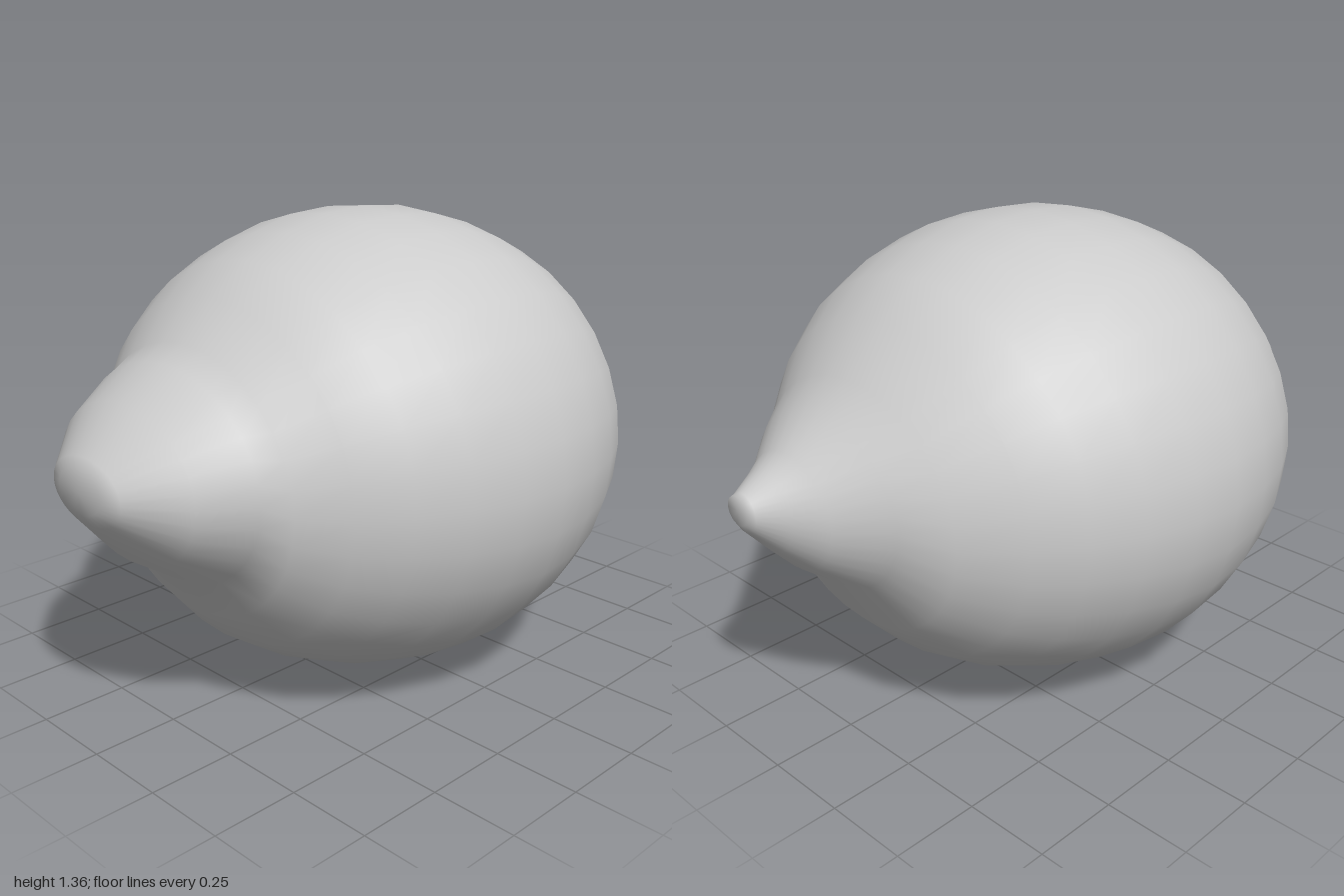
import * as THREE from 'three';

// Cross-sections from back to front: [z, xMin, xMax, yMin, yMax]
const sections = [
  [-1.0, 0.025, 0.11, 0.71, 0.79],
  [-0.985, 0.01, 0.12, 0.685, 0.795],
  [-0.92, -0.05, 0.165, 0.61, 0.835],
  [-0.86, -0.13, 0.22, 0.545, 0.87],
  [-0.76, -0.265, 0.325, 0.47, 0.955],
  [-0.68, -0.39, 0.405, 0.325, 1.03],
  [-0.56, -0.53, 0.53, 0.2, 1.16],
  [-0.44, -0.62, 0.62, 0.12, 1.25],
  [-0.3, -0.69, 0.69, 0.06, 1.31],
  [-0.15, -0.735, 0.735, 0.02, 1.35],
  [0, -0.75, 0.75, 0.005, 1.36],
  [0.15, -0.735, 0.735, 0.02, 1.35],
  [0.3, -0.69, 0.69, 0.06, 1.31],
  [0.44, -0.62, 0.62, 0.12, 1.25],
  [0.56, -0.53, 0.53, 0.2, 1.165],
  [0.66, -0.42, 0.42, 0.315, 1.06],
  [0.73, -0.375, 0.375, 0.43, 1.02],
  [0.86, -0.29, 0.29, 0.515, 0.94],
  [0.975, -0.15, 0.15, 0.645, 0.825],
  [0.995, -0.09, 0.09, 0.68, 0.8],
];
const SIDES = 32;

// Skin elliptical rings along z and close both ends with a fan
function loft(rings) {
  const pos = [], index = [];
  for (const [z, x0, x1, y0, y1] of rings) {
    for (let j = 0; j < SIDES; j++) {
      const a = (j / SIDES) * Math.PI * 2;
      pos.push(
        (x0 + x1) / 2 + ((x1 - x0) / 2) * Math.cos(a),
        (y0 + y1) / 2 + ((y1 - y0) / 2) * Math.sin(a),
        z
      );
    }
  }
  const addCentre = ([, x0, x1, y0, y1], z) => {
    pos.push((x0 + x1) / 2, (y0 + y1) / 2, z);
    return pos.length / 3 - 1;
  };
  const last = rings.length - 1;
  const back = addCentre(rings[0], -1);
  const front = addCentre(rings[last], 1);
  for (let j = 0; j < SIDES; j++) {
    const k = (j + 1) % SIDES;
    for (let i = 0; i < last; i++) {
      const r = i * SIDES, s = r + SIDES;
      index.push(r + j, r + k, s + j, r + k, s + k, s + j);
    }
    index.push(back, k, j);
    index.push(front, last * SIDES + j, last * SIDES + k);
  }
  const geo = new THREE.BufferGeometry();
  geo.setAttribute('position', new THREE.Float32BufferAttribute(pos, 3));
  geo.setIndex(index);
  geo.computeVertexNormals();
  return geo;
}

export function createModel() {
  const group = new THREE.Group();
  group.name = 'lemon';

  // Whole fruit: round body, blunt front nub and off-centre pointed back tip
  const fruit = new THREE.Mesh(
    loft(sections),
    new THREE.MeshStandardMaterial({ color: 0xcccccc })
  );
  fruit.name = 'fruitBody';
  group.add(fruit);
  return group;
}
